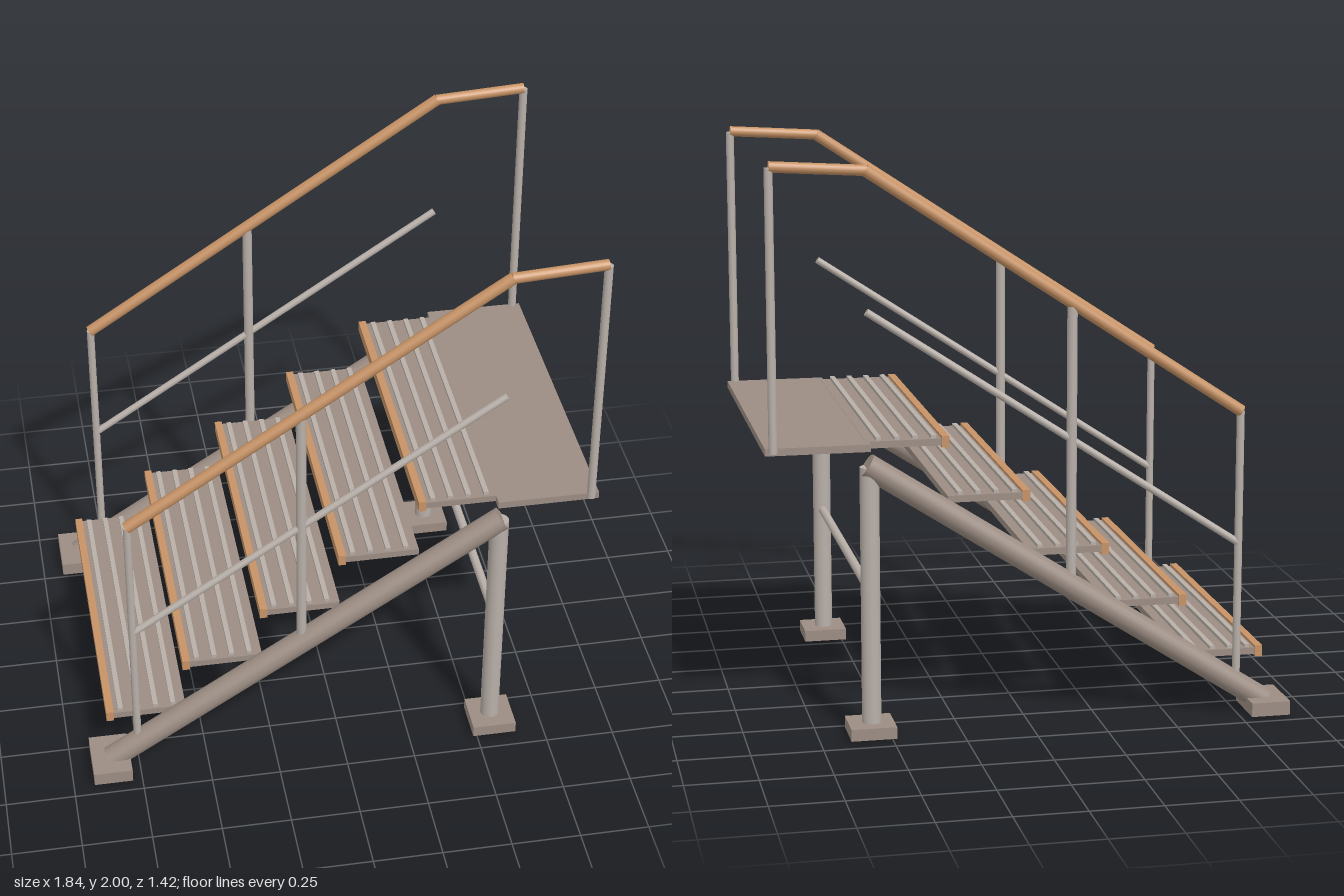
import * as THREE from 'three';

const steel = new THREE.MeshStandardMaterial({ color: 0x9c8d83 });
steel.name = 'warm grey steel';
const pipe = new THREE.MeshStandardMaterial({ color: 0xb8afa8 });
pipe.name = 'light grey pipe';
const wood = new THREE.MeshStandardMaterial({ color: 0xc69265 });
wood.name = 'tan wood';

// Box given by its lower and upper corners
function box(parent, name, mat, [x0, y0, z0], [x1, y1, z1]) {
  const mesh = new THREE.Mesh(new THREE.BoxGeometry(x1 - x0, y1 - y0, z1 - z0), mat);
  mesh.position.set((x0 + x1) / 2, (y0 + y1) / 2, (z0 + z1) / 2);
  mesh.name = name;
  parent.add(mesh);
}

// Round bar between two points
function bar(parent, name, mat, from, to, radius) {
  const a = new THREE.Vector3(...from), b = new THREE.Vector3(...to);
  const dir = b.clone().sub(a);
  const mesh = new THREE.Mesh(new THREE.CylinderGeometry(radius, radius, dir.length(), 20), mat);
  mesh.position.copy(a).add(b).multiplyScalar(0.5);
  mesh.quaternion.setFromUnitVectors(new THREE.Vector3(0, 1, 0), dir.normalize());
  mesh.name = name;
  parent.add(mesh);
}

export function createModel() {
  const model = new THREE.Group();
  model.name = 'staircase';

  // Five treads, each with a wooden nosing and four grip ribs
  for (let i = 0; i < 5; i++) {
    const tread = new THREE.Group();
    tread.name = 'tread' + (i + 1);
    tread.position.set(-0.859 + i * 0.284, 0.202 + i * 0.204, 0);
    box(tread, 'nosing', wood, [0, -0.02, -0.575], [0.027, 0.02, 0.575]);
    box(tread, 'treadPlate', steel, [0.027, -0.013, -0.57], [0.29, 0.011, 0.57]);
    for (let r = 0; r < 4; r++) {
      const x = 0.053 + r * 0.064;
      box(tread, 'gripRib', pipe, [x - 0.009, 0.008, -0.56], [x + 0.009, 0.023, 0.56]);
    }
    model.add(tread);
  }

  // Landing at the top, and the tie bar between the rear legs
  box(model, 'landing', steel, [0.555, 1.002, -0.61], [0.918, 1.028, 0.61]);
  bar(model, 'tieBar', pipe, [0.562, 0.51, -0.61], [0.562, 0.51, 0.61], 0.016);

  // Matching frame and railing on both sides
  for (const side of [1, -1]) {
    const frame = new THREE.Group();
    frame.name = side > 0 ? 'frontFrame' : 'backFrame';
    frame.position.z = 0.608 * side;
    model.add(frame);

    // Sloping stringer, leg and feet
    bar(frame, 'stringer', steel, [-0.853, 0.032, 0], [0.571, 0.956, 0], 0.043);
    bar(frame, 'leg', pipe, [0.562, 0.03, 0], [0.562, 0.95, 0], 0.034);
    box(frame, 'lowerFoot', steel, [-0.925, 0, -0.1], [-0.785, 0.05, 0.1]);
    box(frame, 'legFoot', steel, [0.485, 0, -0.08], [0.645, 0.042, 0.08]);

    // Railing posts
    bar(frame, 'lowerPost', pipe, [-0.752, 0.11, 0], [-0.752, 1.09, 0], 0.014);
    bar(frame, 'middlePost', pipe, [-0.146, 0.5, 0], [-0.146, 1.485, 0], 0.018);
    bar(frame, 'upperPost', pipe, [0.89, 1.01, 0], [0.89, 1.978, 0], 0.015);

    // Middle rail and bent handrail
    bar(frame, 'middleRail', pipe, [-0.752, 0.615, 0], [0.567, 1.484, 0], 0.013);
    bar(frame, 'slopingHandrail', wood, [-0.754, 1.09, 0], [0.568, 1.964, 0], 0.021);
    bar(frame, 'landingHandrail', wood, [0.562, 1.962, 0], [0.89, 1.981, 0], 0.019);
  }
  return model;
}
